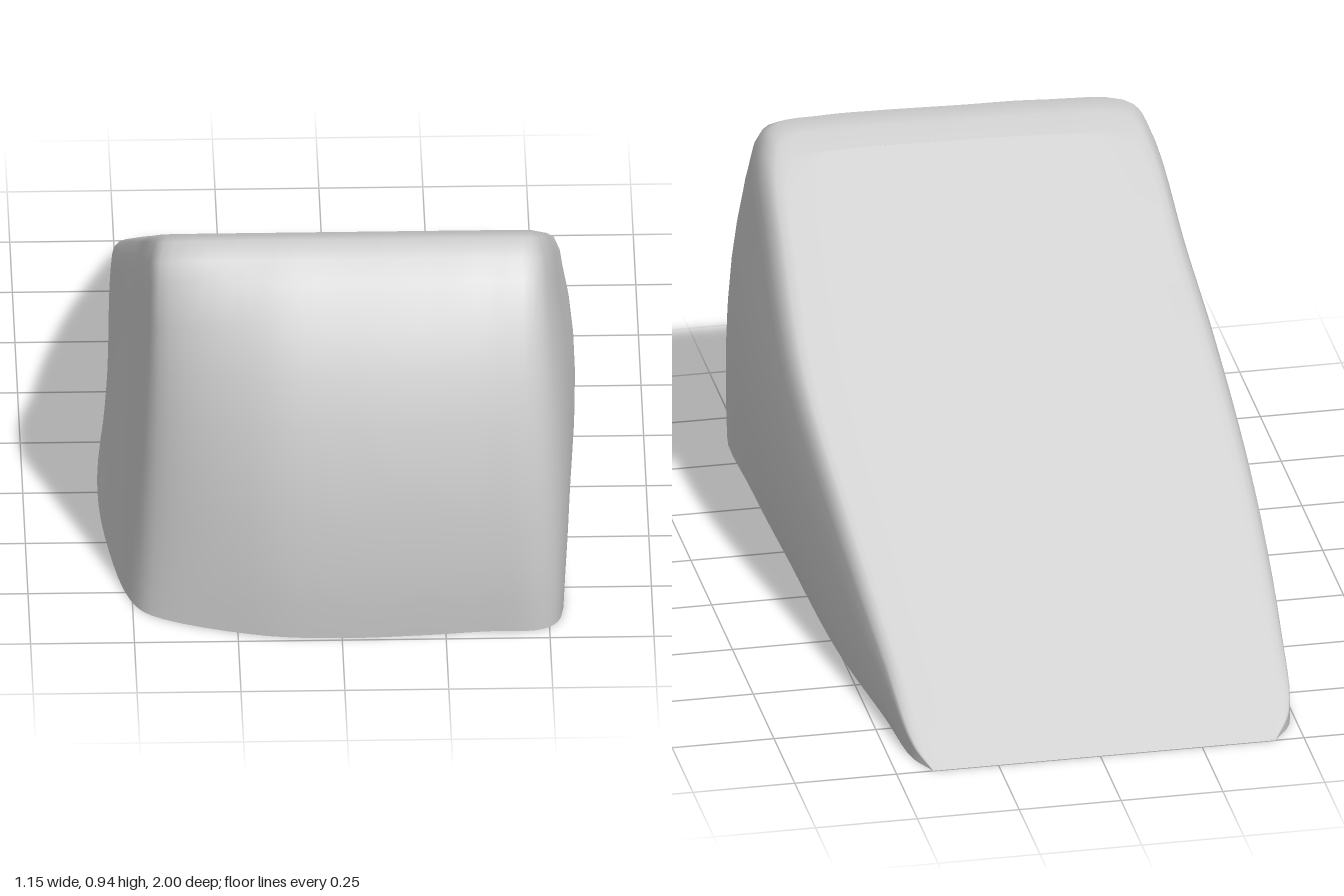
import * as THREE from 'three';

const SLOPE = 0.563; // rise of the top face per unit of depth
const COLS = 96;

// U-shaped outlines [x, z], from the back right end, round the front, to the back left end
const BASE = [[-.43, -1], [-.48, -.92], [-.505, -.7], [-.53, -.3], [-.57, .2], [-.555, .5], [-.5, .8],
  [-.45, .87], [-.2, .97], [0, .99], [.2, .98], [.35, .965], [.48, .958], [.525, .91], [.53, .6],
  [.52, .2], [.505, -.3], [.465, -.7], [.445, -.92], [.41, -1]];
const MIDDLE = [[-.43, -1], [-.48, -.92], [-.51, -.7], [-.53, -.3], [-.53, .2], [-.515, .47], [-.485, .73],
  [-.435, .83], [-.2, .95], [0, .975], [.2, .975], [.35, .96], [.48, .935], [.53, .87], [.565, .6],
  [.57, .2], [.525, -.3], [.475, -.7], [.445, -.92], [.41, -1]];
const RIDGE = [[-.43, -1], [-.48, -.92], [-.505, -.7], [-.52, -.3], [-.505, .1], [-.485, .35], [-.465, .66],
  [-.43, .75], [-.2, .78], [0, .785], [.2, .79], [.35, .79], [.475, .775], [.51, .7], [.535, .45],
  [.55, .1], [.515, -.3], [.47, -.7], [.445, -.92], [.41, -1]];

// Smooth samples along an outline, evenly spread between its control points
function sample(outline) {
  const curve = new THREE.CatmullRomCurve3(outline.map(([x, z]) => new THREE.Vector3(x, 0, z)), false, 'centripetal');
  return Array.from({ length: COLS + 1 }, (_, i) => curve.getPoint(i / COLS));
}

// Quadratic blend of the three outlines at their heights 0, 0.377 and 0.858
function blend(a, b, c, t) {
  const m = 0.377, r = 0.858;
  return a * (t - m) * (t - r) / (m * r) + b * t * (t - r) / (m * (m - r)) + c * t * (t - m) / (r * (r - m));
}

function wedgeGeometry() {
  const [base, middle, ridge] = [BASE, MIDDLE, RIDGE].map(sample);
  const rows = [];
  const addRow = (points, t) => rows.push(points.map(([x, z]) => [x, t * SLOPE * (z + 1), z]));

  // Walls: a fan of outlines hinged on the back edge
  for (const t of [0, .08, .16, .27, .377, .5, .62, .74, .858]) {
    addRow(base.map((p, i) => [
      blend(p.x, middle[i].x, ridge[i].x, t),
      blend(p.z, middle[i].z, ridge[i].z, t),
    ]), t);
  }
  // Rounded edge, drawing in towards the sloping top
  for (const [t, sx, sz] of [[.92, .99, .978], [.977, .965, .95], [.993, .935, .92], [1, .9, .888]]) {
    addRow(ridge.map((p) => [p.x * sx, -1 + (p.z + 1) * sz]), t);
  }
  // Top face: close each side onto the middle line
  const rim = rows[rows.length - 1];
  for (const k of [.15, 1]) {
    rows.push(rim.map((p, i) => p.map((v, axis) => v + (rim[COLS - i][axis] - v) * 0.5 * k)));
  }

  const index = [];
  const width = COLS + 1;
  for (let r = 0; r < rows.length - 1; r++) {
    for (let i = 0; i < COLS; i++) {
      const a = r * width + i, b = a + 1, c = a + width, d = c + 1;
      index.push(a, b, d, a, d, c);
    }
  }
  const geometry = new THREE.BufferGeometry();
  geometry.setAttribute('position', new THREE.Float32BufferAttribute(rows.flat(2), 3));
  geometry.setIndex(index);
  geometry.computeVertexNormals();
  return geometry;
}

export function createModel() {
  const group = new THREE.Group();
  group.name = 'wedge';
  // Hollow shell, open underneath
  const shell = new THREE.Mesh(
    wedgeGeometry(),
    new THREE.MeshStandardMaterial({ color: 0xcccccc, side: THREE.DoubleSide }),
  );
  shell.name = 'wedgeShell';
  group.add(shell);
  return group;
}
